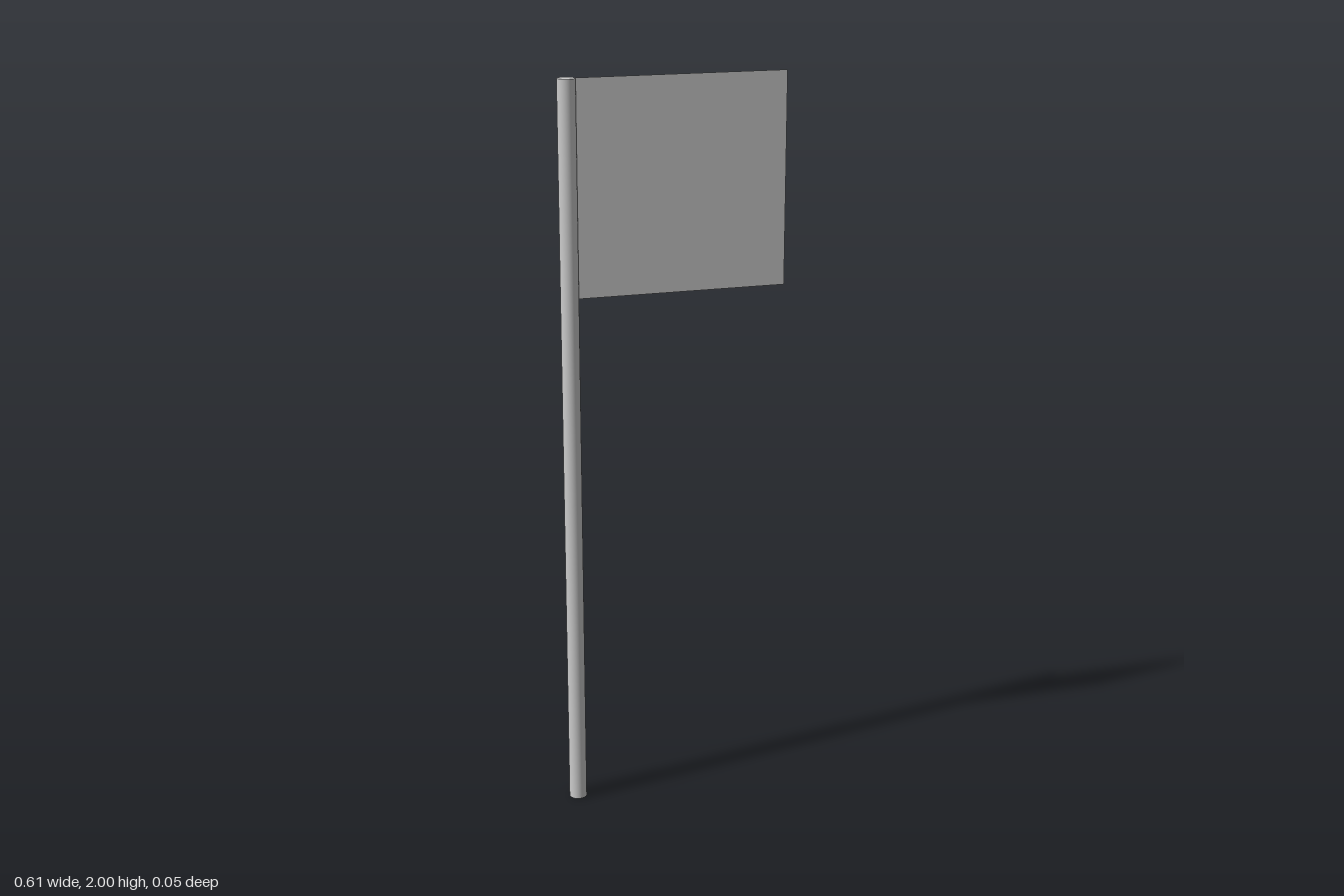
import * as THREE from 'three';

export function createModel() {
  const model = new THREE.Group();
  const poleRadius = 0.024, poleHeight = 2, poleX = -0.283;
  const flagWidth = 0.566, flagHeight = 0.568;

  // Round upright pole with capped ends
  const pole = new THREE.Mesh(
    new THREE.CylinderGeometry(poleRadius, poleRadius, poleHeight, 32),
    new THREE.MeshStandardMaterial({ color: 0xcccccc })
  );
  pole.name = 'pole';
  pole.position.set(poleX, poleHeight / 2, 0);
  model.add(pole);

  // Flat, thin flag flush with the pole top
  const flag = new THREE.Mesh(
    new THREE.PlaneGeometry(flagWidth, flagHeight),
    new THREE.MeshStandardMaterial({ color: 0xcccccc, side: THREE.DoubleSide })
  );
  flag.name = 'flag';
  flag.position.set(poleX + poleRadius + flagWidth / 2, poleHeight - flagHeight / 2, 0);
  model.add(flag);

  return model;
}
